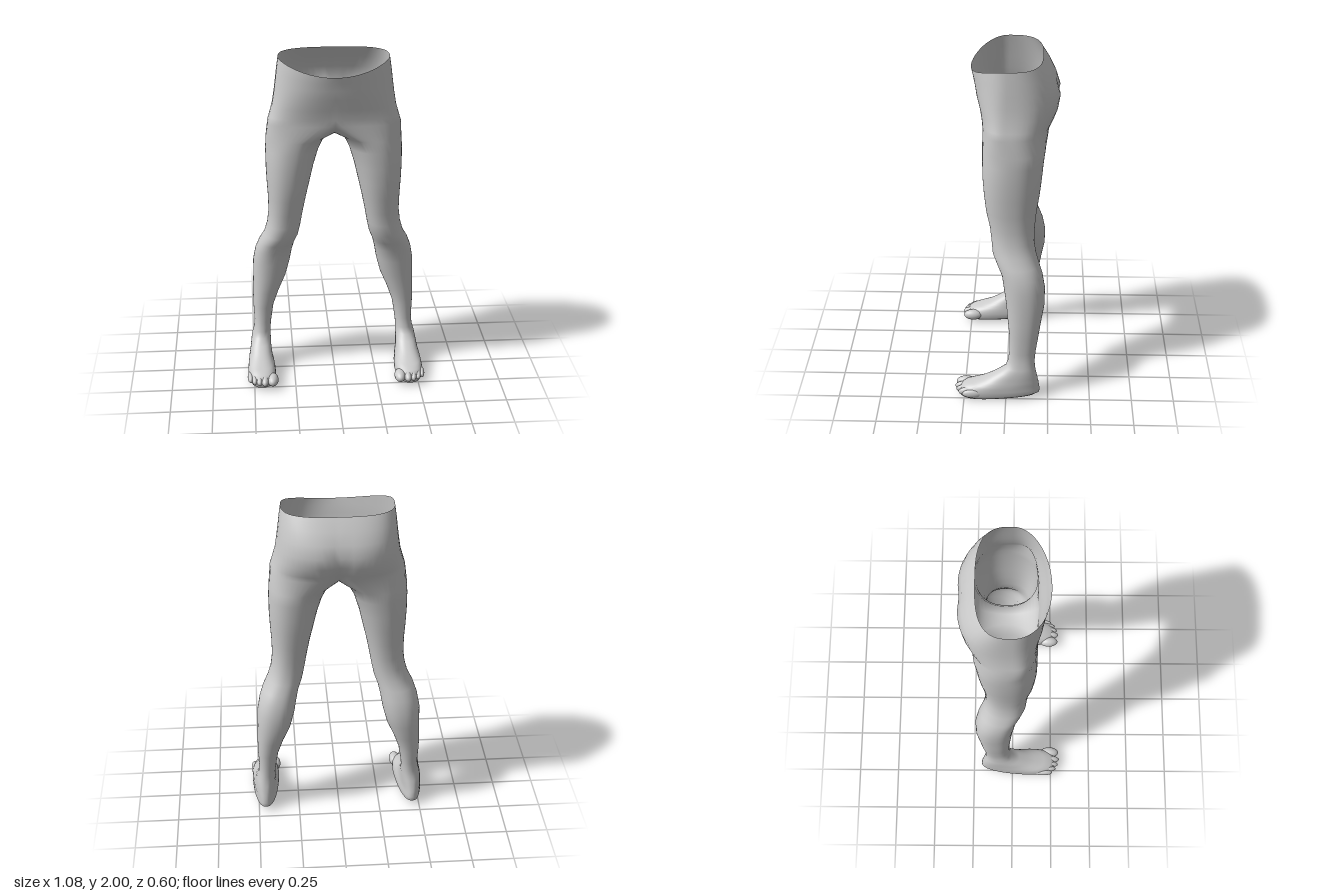
import * as THREE from 'three';
import { mergeVertices } from 'three/addons/utils/BufferGeometryUtils.js';

const N = 48;      // points around a leg
const HALF = 16;   // points -HALF..HALF carry on up into the hips, the rest meet at the crotch

// Hip sections: y, half width, back z, front z, front squareness, back squareness, rim dip, cleft depth
const HIPS = [
  [2.0, 0.32, -0.2, 0.21, 2, 3, 0.07, 0],
  [1.93, 0.33, -0.245, 0.2, 2.1, 3, 0.04, 0],
  [1.86, 0.338, -0.28, 0.19, 2.2, 2.9, 0.015, 0.004],
  [1.79, 0.347, -0.303, 0.18, 2.4, 2.8, 0, 0.01],
  [1.72, 0.358, -0.292, 0.16, 2.7, 2.8, 0, 0.025],
  [1.66, 0.375, -0.267, 0.148, 3, 2.8, 0, 0.04],
  [1.62, 0.387, -0.245, 0.143, 3.4, 2.8, 0, 0.05],
];

// Leg sections: y, inner x, outer x, back z, front z
const LEG = [
  [1.52, 0.055, 0.398, -0.22, 0.14],
  [1.45, 0.09, 0.402, -0.21, 0.14],
  [1.35, 0.12, 0.402, -0.2, 0.138],
  [1.25, 0.143, 0.398, -0.188, 0.13],
  [1.15, 0.166, 0.392, -0.172, 0.118],
  [1.05, 0.186, 0.39, -0.162, 0.096],
  [0.97, 0.2, 0.4, -0.16, 0.087],
  [0.9, 0.215, 0.42, -0.17, 0.08],
  [0.84, 0.238, 0.452, -0.19, 0.053],
  [0.78, 0.252, 0.474, -0.21, 0.026],
  [0.7, 0.266, 0.489, -0.225, 0.014],
  [0.6, 0.292, 0.491, -0.224, 0],
  [0.5, 0.335, 0.495, -0.206, -0.01],
  [0.4, 0.37, 0.495, -0.19, -0.02],
  [0.3, 0.386, 0.49, -0.175, -0.02],
  [0.24, 0.393, 0.495, -0.17, -0.012],
];

// Foot sections, same columns plus heel narrowing
const FOOT = [
  [0.2, 0.392, 0.507, -0.172, 0.003, 0],
  [0.17, 0.39, 0.515, -0.178, 0.045, 0.08],
  [0.14, 0.385, 0.522, -0.185, 0.095, 0.16],
  [0.115, 0.378, 0.53, -0.19, 0.145, 0.25],
  [0.095, 0.368, 0.54, -0.195, 0.205, 0.33],
  [0.08, 0.358, 0.545, -0.197, 0.25, 0.38],
  [0.06, 0.352, 0.55, -0.2, 0.275, 0.4],
  [0.035, 0.35, 0.55, -0.2, 0.28, 0.4],
  [0.012, 0.36, 0.543, -0.19, 0.275, 0.4],
  [0, 0.378, 0.53, -0.172, 0.255, 0.4],
];

// Squared-off unit circle; n = 2 is round
function rounded(angle, n) {
  const c = Math.cos(angle), s = Math.sin(angle);
  const r = (Math.abs(c) ** n + Math.abs(s) ** n) ** (-1 / n);
  return [c * r, s * r];
}

function hipPoint([y, w, back, front, nFront, nBack, dip, cleft], k) {
  const [c, s] = rounded((k / HALF) * Math.PI / 2, k > 0 ? nFront : nBack);
  const x = Math.abs(k) === HALF ? 0 : w * c;
  let z = s > 0 ? front * s : -back * s;
  if (s < 0) z += cleft * Math.exp(-((x / 0.06) ** 2));
  return [x, y - (s > 0 ? dip * s * s : 0), z];
}

// Saddle between the legs, front to back along the middle
function crotchPoint(k) {
  const u = (k - HALF) / (N - 2 * HALF);
  const last = HIPS[HIPS.length - 1];
  const a = hipPoint(last, HALF), b = hipPoint(last, -HALF);
  return [0, a[1] - 0.08 * Math.sin(Math.PI * u) ** 0.8, a[2] + (b[2] - a[2]) * u];
}

function legPoint([y, inner, outer, back, front, heel = 0], k) {
  const [c, s] = rounded((k / N) * Math.PI * 2, heel ? 2.5 : 2.25);
  let x = (inner + outer) / 2 + c * (outer - inner) / 2;
  const z = (front + back) / 2 + s * (front - back) / 2;
  x = 0.465 + (x - 0.465) * (1 - heel * (1 - s) / 2);
  const lift = y < 0.03 ? 0.018 * (1 - s) / 2 : 0;
  return [x, y + lift, z];
}

// One skin for hips, legs and feet: left half, then its mirror image
function bodyGeometry() {
  const positions = [];
  const tri = (a, b, c) => {
    positions.push(...a, ...b, ...c);
    for (const p of [a, c, b]) positions.push(p[0] === 0 ? 0 : -p[0], p[1], p[2]);
  };
  const band = (upper, lower, from, to) => {
    for (let k = from; k < to; k++) {
      const a = upper(k), b = upper(k + 1), c = lower(k), d = lower(k + 1);
      tri(a, b, c);
      tri(b, d, c);
    }
  };

  // Hips, open at the waist
  const hips = HIPS.map((row) => (k) => hipPoint(row, k));
  for (let i = 0; i < hips.length - 1; i++) band(hips[i], hips[i + 1], -HALF, HALF);

  // Leg and foot
  const legs = [...LEG, ...FOOT].map((row) => (k) => legPoint(row, k));
  band(hips[hips.length - 1], legs[0], -HALF, HALF);
  band(crotchPoint, legs[0], HALF, N - HALF);
  for (let i = 0; i < legs.length - 1; i++) band(legs[i], legs[i + 1], 0, N);

  // Sole
  const sole = legs[legs.length - 1];
  for (let k = 0; k < N; k++) tri(sole(k), sole(k + 1), [0.458, 0.012, 0.04]);

  let geometry = new THREE.BufferGeometry();
  geometry.setAttribute('position', new THREE.Float32BufferAttribute(positions, 3));
  geometry = mergeVertices(geometry, 1e-4);
  geometry.computeVertexNormals();
  return geometry;
}

export function createModel() {
  const group = new THREE.Group();
  const material = new THREE.MeshStandardMaterial({ color: 0xcccccc, side: THREE.DoubleSide });

  const body = new THREE.Mesh(bodyGeometry(), material);
  body.name = 'hipsLegsAndFeet';
  group.add(body);

  // Toes, big to little: x, half width, tip z
  const toes = [
    [0.389, 0.034, 0.3], [0.436, 0.024, 0.305], [0.469, 0.021, 0.297],
    [0.498, 0.02, 0.283], [0.523, 0.019, 0.26],
  ];
  const ball = new THREE.SphereGeometry(1, 20, 14);
  for (const side of [1, -1]) {
    const set = new THREE.Group();
    set.name = side > 0 ? 'leftToes' : 'rightToes';
    for (const [x, r, tip] of toes) {
      const toe = new THREE.Mesh(ball, material);
      toe.name = 'toe';
      toe.scale.set(r, r * 0.5 + 0.017, 0.06);
      toe.position.set(side * x, 0.046, tip - 0.06);
      set.add(toe);
    }
    group.add(set);
  }
  return group;
}
